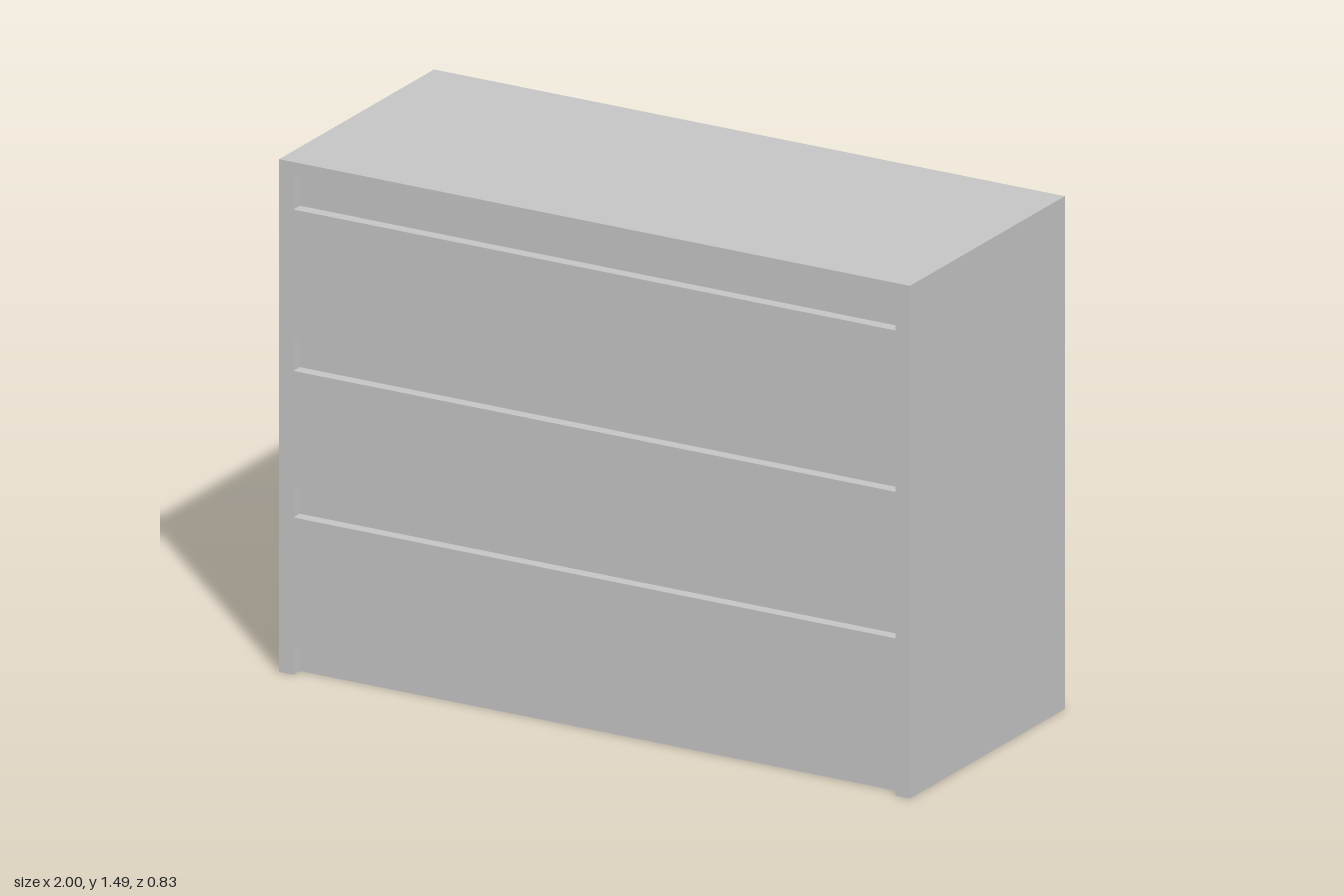
import * as THREE from 'three';

const W = 2, H = 1.49, D = 0.834;   // overall size
const T = 0.045;                    // board thickness
const RECESS = 0.035;               // depth of the finger grooves and toe kick

export function createModel() {
  const model = new THREE.Group();
  model.name = 'chestOfDrawers';
  const board = new THREE.MeshStandardMaterial({ color: 0xc4c4c4 });
  board.name = 'light grey board';

  // Box given by its minimum and maximum corners
  const box = (name, [x0, y0, z0], [x1, y1, z1]) => {
    const mesh = new THREE.Mesh(new THREE.BoxGeometry(x1 - x0, y1 - y0, z1 - z0), board);
    mesh.position.set((x0 + x1) / 2, (y0 + y1) / 2, (z0 + z1) / 2);
    mesh.name = name;
    model.add(mesh);
  };

  const inner = W / 2 - T, under = H - T + 0.005, front = D / 2, back = -D / 2;

  // Top board and two side panels
  box('topBoard', [-W / 2, under, back], [W / 2, H, front]);
  box('leftSide', [inner, 0, back], [W / 2, under, front]);
  box('rightSide', [-W / 2, 0, back], [-inner, under, front]);

  // Back panel and the carcass, whose front shows in the grooves and toe kick
  box('backPanel', [-inner, 0, back + 0.001], [inner, under, back + 0.03]);
  box('carcass', [-inner, 0, back + 0.03], [inner, under, front - RECESS]);

  // Drawer fronts, flush with the side panels
  [[0.08, 0.457], [0.553, 0.883], [0.977, 1.352]].forEach(([y0, y1], i) =>
    box(`drawerFront${i + 1}`, [-inner, y0, front - RECESS], [inner, y1, front]));

  return model;
}
